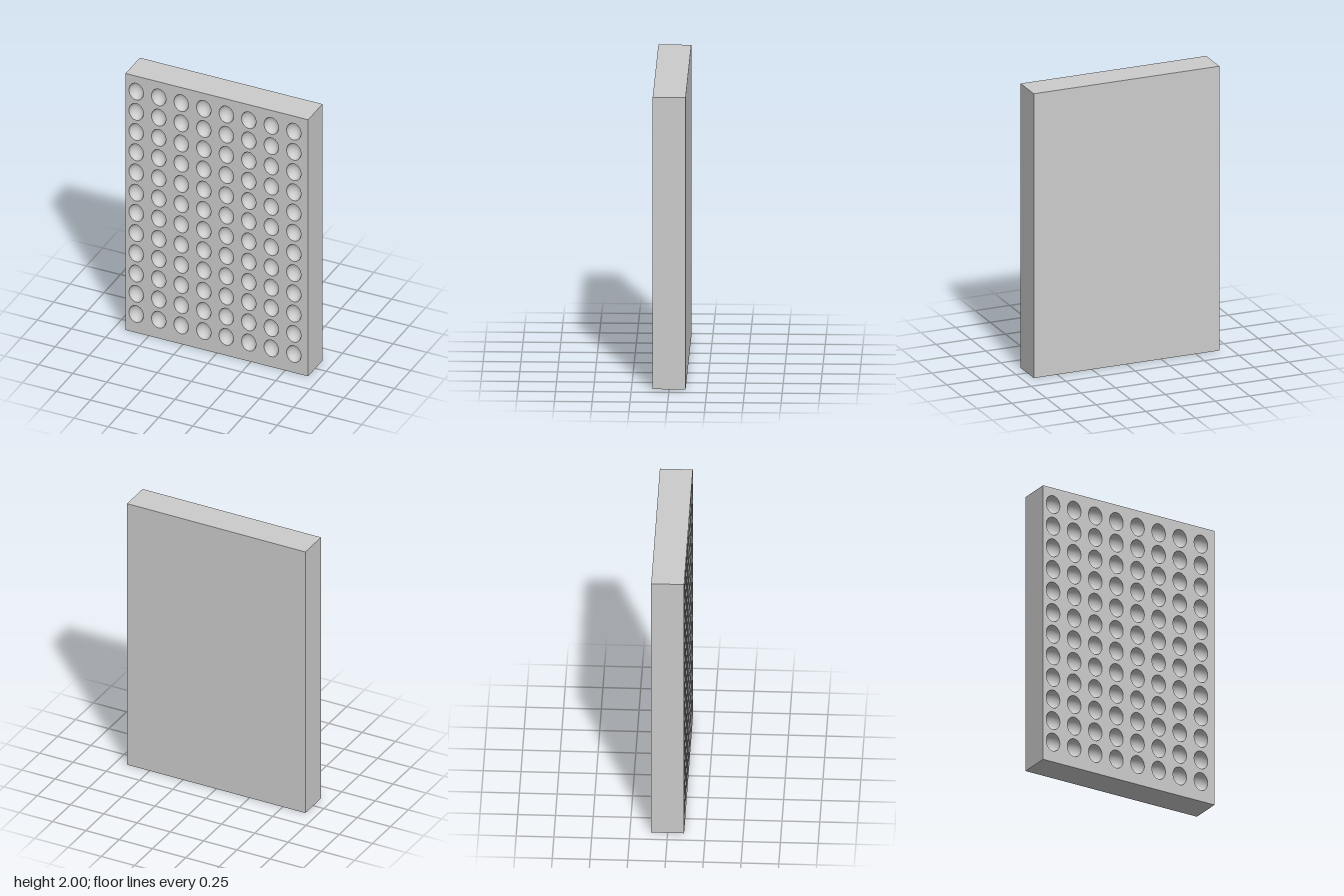
import * as THREE from 'three';

const W = 1.34, H = 2, D = 0.218;      // slab size
const COLS = 8, ROWS = 12;             // dimple grid
const X0 = -0.592, DX = 0.1652;        // first column and column pitch
const Y0 = 0.145, DY = 0.1576;         // first row and row pitch
const RX = 0.053, RY = 0.065, DEPTH = 0.055;

export function createModel() {
  const model = new THREE.Group();
  const material = new THREE.MeshStandardMaterial({ color: 0xcccccc });
  const add = (name, geometry, x = 0, y = 0, z = 0, parent = model) => {
    const mesh = new THREE.Mesh(geometry, material);
    mesh.name = name;
    mesh.position.set(x, y, z);
    parent.add(mesh);
  };

  // Slab sides and back: a box without its +z face
  const box = new THREE.BoxGeometry(W, H, D);
  const index = Array.from(box.index.array);
  index.splice(24, 6);
  box.setIndex(index);
  box.clearGroups();
  add('slabBody', box, 0, H / 2, 0);

  // Front face outline, pierced by the dimple openings
  const face = new THREE.Shape();
  face.moveTo(-W / 2, 0).lineTo(W / 2, 0).lineTo(W / 2, H).lineTo(-W / 2, H).closePath();

  // Bowl profile runs from rim to centre so its surface faces inward
  const profile = [];
  for (let i = 0; i <= 8; i++) {
    const a = (i / 8) * Math.PI / 2;
    profile.push(new THREE.Vector2(i === 8 ? 0 : Math.cos(a), -Math.sin(a)));
  }
  const bowl = new THREE.LatheGeometry(profile, 32);
  bowl.rotateX(Math.PI / 2);
  bowl.scale(RX, RY, DEPTH);

  // Grid of dimples
  const dimples = new THREE.Group();
  dimples.name = 'dimples';
  model.add(dimples);
  for (let r = 0; r < ROWS; r++) {
    for (let c = 0; c < COLS; c++) {
      const x = X0 + c * DX, y = Y0 + r * DY;
      const hole = new THREE.Path();
      hole.absellipse(x, y, RX, RY, 0, Math.PI * 2, true);
      face.holes.push(hole);
      add('dimple', bowl, x, y, D / 2, dimples);
    }
  }
  add('frontFace', new THREE.ShapeGeometry(face, 16), 0, 0, D / 2);

  return model;
}
